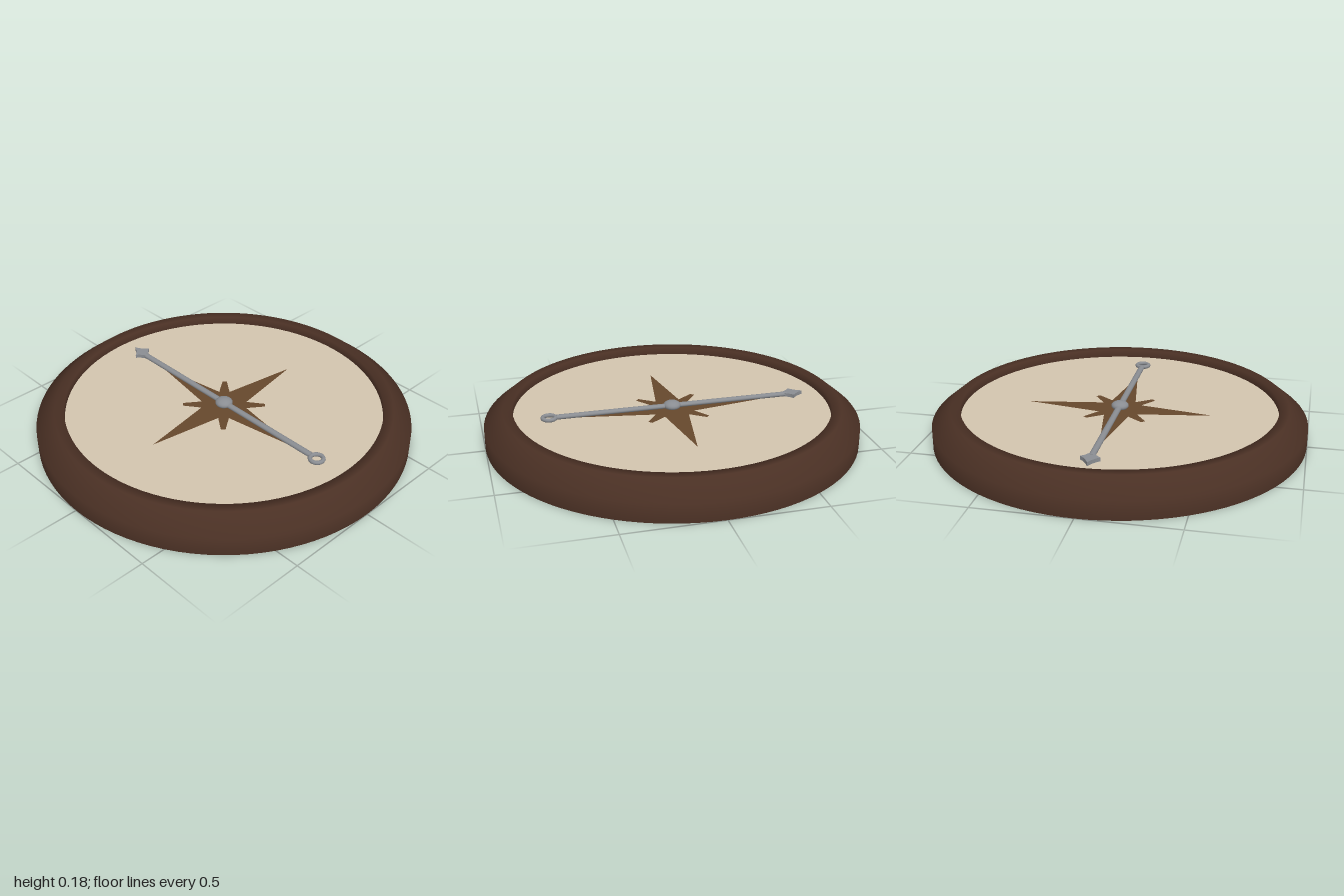
import * as THREE from 'three';

const DIAL_Y = 0.135, NEEDLE_Y = 0.15;

function material(name, color) {
  const m = new THREE.MeshStandardMaterial({ color, side: THREE.DoubleSide });
  m.name = name;
  return m;
}

// Compass star outline: four long points with short blunt points between them
function starPoints() {
  const quarter = [[0.5, 0], [0.105, 0.065], [0.165, 0.148], [0.148, 0.165], [0.065, 0.105]];
  const points = [];
  for (let i = 0; i < 4; i++) {
    for (const [x, y] of quarter) {
      points.push(new THREE.Vector2(x, y).rotateAround(new THREE.Vector2(), i * Math.PI / 2));
    }
  }
  return points;
}

export function createModel() {
  const compass = new THREE.Group();
  compass.name = 'compass';
  const wood = material('dark wood', 0x4a3024);
  const paper = material('parchment', 0xd2c4ae);
  const ink = material('brown ink', 0x66482c);
  const steel = material('steel', 0x8a8d92);

  function add(name, geometry, mat, x, y, z, parent = compass) {
    const mesh = new THREE.Mesh(geometry, mat);
    mesh.name = name;
    mesh.position.set(x, y, z);
    parent.add(mesh);
    return mesh;
  }

  // Case: open-bottomed bevelled shell
  const profile = [[1, 0], [1, 0.1], [0.9, 0.18], [0.848, 0.18], [0.848, 0.13]]
    .map(([r, y]) => new THREE.Vector2(r, y));
  add('case', new THREE.LatheGeometry(profile, 96), wood, 0, 0, 0);

  // Dial with the star inlaid, so both show from above and below
  const disc = new THREE.Shape().absarc(0, 0, 0.848, 0, Math.PI * 2);
  disc.holes.push(new THREE.Path(starPoints()));
  add('dial', new THREE.ShapeGeometry(disc, 96).rotateX(-Math.PI / 2), paper, 0, DIAL_Y, 0);
  const star = new THREE.ShapeGeometry(new THREE.Shape(starPoints()));
  add('star', star.rotateX(-Math.PI / 2), ink, 0, DIAL_Y, 0);

  // Needle: rod, arrowhead, tail ring and domed hub
  const needle = new THREE.Group();
  needle.name = 'needle';
  needle.position.y = NEEDLE_Y;
  compass.add(needle);
  const rod = new THREE.CylinderGeometry(0.017, 0.017, 1.28, 12).rotateX(Math.PI / 2);
  add('rod', rod.scale(1, 0.75, 1), steel, 0, 0, -0.015, needle);

  const head = new THREE.Shape();
  head.moveTo(0, 0.745);
  head.quadraticCurveTo(0.02, 0.7, 0.05, 0.68);
  head.quadraticCurveTo(0.025, 0.665, 0.012, 0.635);
  head.lineTo(-0.012, 0.635);
  head.quadraticCurveTo(-0.025, 0.665, -0.05, 0.68);
  head.quadraticCurveTo(-0.02, 0.7, 0, 0.745);
  const arrow = new THREE.ExtrudeGeometry(head, { depth: 0.02, bevelEnabled: false, curveSegments: 6 });
  add('arrowhead', arrow.rotateX(-Math.PI / 2), steel, 0, -0.01, 0, needle);

  const ring = new THREE.TorusGeometry(0.034, 0.011, 10, 28).rotateX(Math.PI / 2);
  add('tailRing', ring, steel, 0, 0, 0.663, needle);
  const hub = new THREE.SphereGeometry(0.047, 20, 12).scale(1, 0.55, 1);
  add('hub', hub, steel, 0, 0.002, 0, needle);
  // Keep the lower half of the hub above the dial
  const pos = hub.attributes.position;
  for (let i = 0; i < pos.count; i++) pos.setY(i, Math.max(pos.getY(i), -0.012));
  hub.computeVertexNormals();

  return compass;
}
